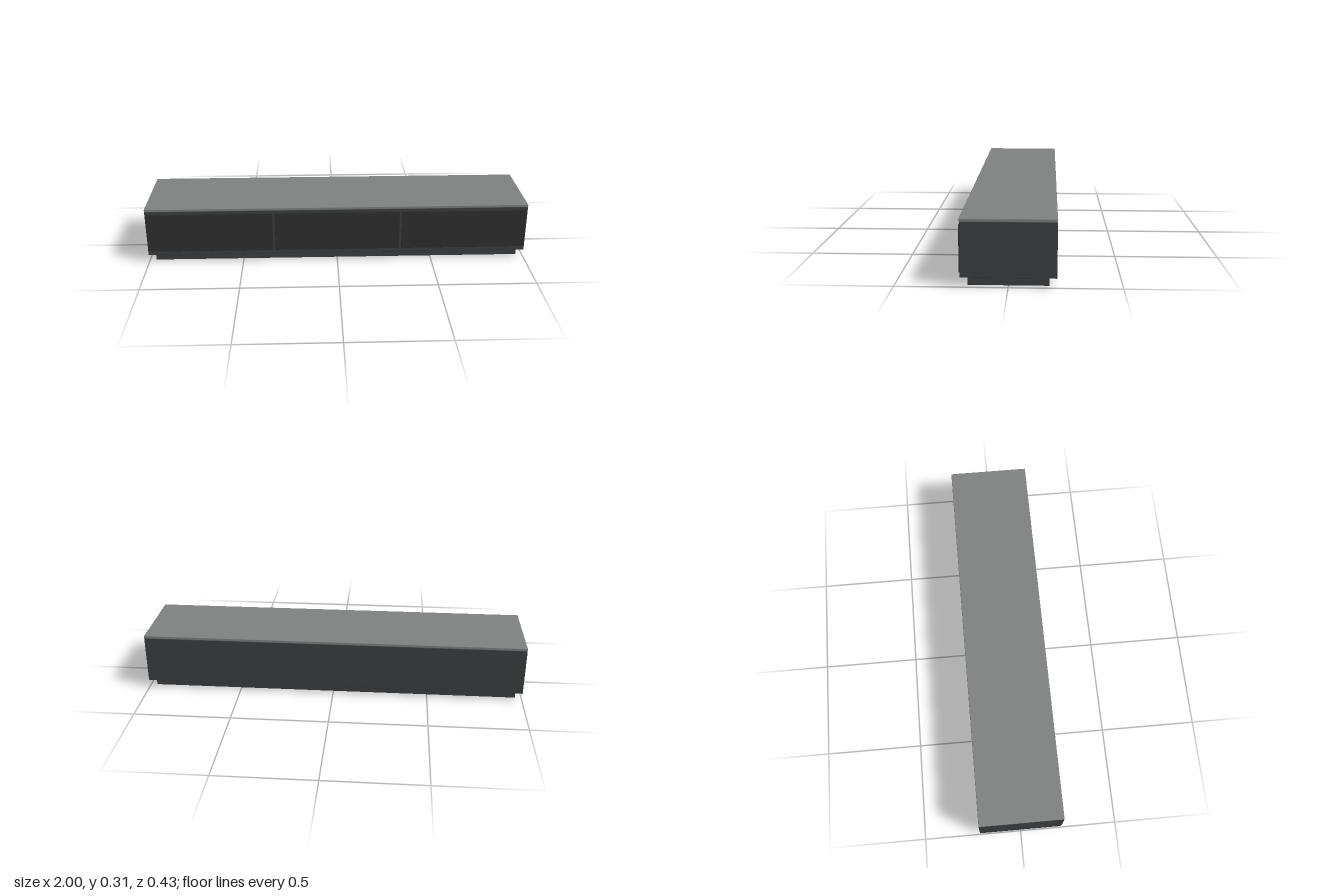
import * as THREE from 'three';
import { RoundedBoxGeometry } from 'three/addons/geometries/RoundedBoxGeometry.js';

export function createModel() {
  const model = new THREE.Group();
  model.name = 'lowCabinet';

  const carcassMat = new THREE.MeshStandardMaterial({ color: 0x3c3e40 });
  const drawerMat = new THREE.MeshStandardMaterial({ color: 0x2f2f2f });
  const topMat = new THREE.MeshStandardMaterial({ color: 0x7f8180 });

  // Softly edged block given by its min and max on each axis
  function block(name, [x0, x1], [y0, y1], [z0, z1], radius, material) {
    const geometry = new RoundedBoxGeometry(x1 - x0, y1 - y0, z1 - z0, 2, radius);
    const mesh = new THREE.Mesh(geometry, material);
    mesh.position.set((x0 + x1) / 2, (y0 + y1) / 2, (z0 + z1) / 2);
    mesh.name = name;
    model.add(mesh);
  }

  // Recessed base, main body and top slab
  block('plinth', [-0.967, 0.967], [0, 0.043], [-0.18, 0.18], 0.001, carcassMat);
  block('carcass', [-1, 1], [0.043, 0.292], [-0.213, 0.21], 0.002, carcassMat);
  block('topPanel', [-1, 1], [0.292, 0.307], [-0.213, 0.212], 0.003, topMat);

  // Three drawer fronts separated by narrow gaps
  const pitch = 2 / 3;
  const gap = 0.012;
  for (let i = 0; i < 3; i++) {
    const left = -1 + i * pitch + (i > 0 ? gap / 2 : 0.002);
    const right = -1 + (i + 1) * pitch - (i < 2 ? gap / 2 : 0.002);
    block('drawerFront' + (i + 1), [left, right], [0.065, 0.277], [0.2, 0.214], 0.001, drawerMat);
  }

  return model;
}
